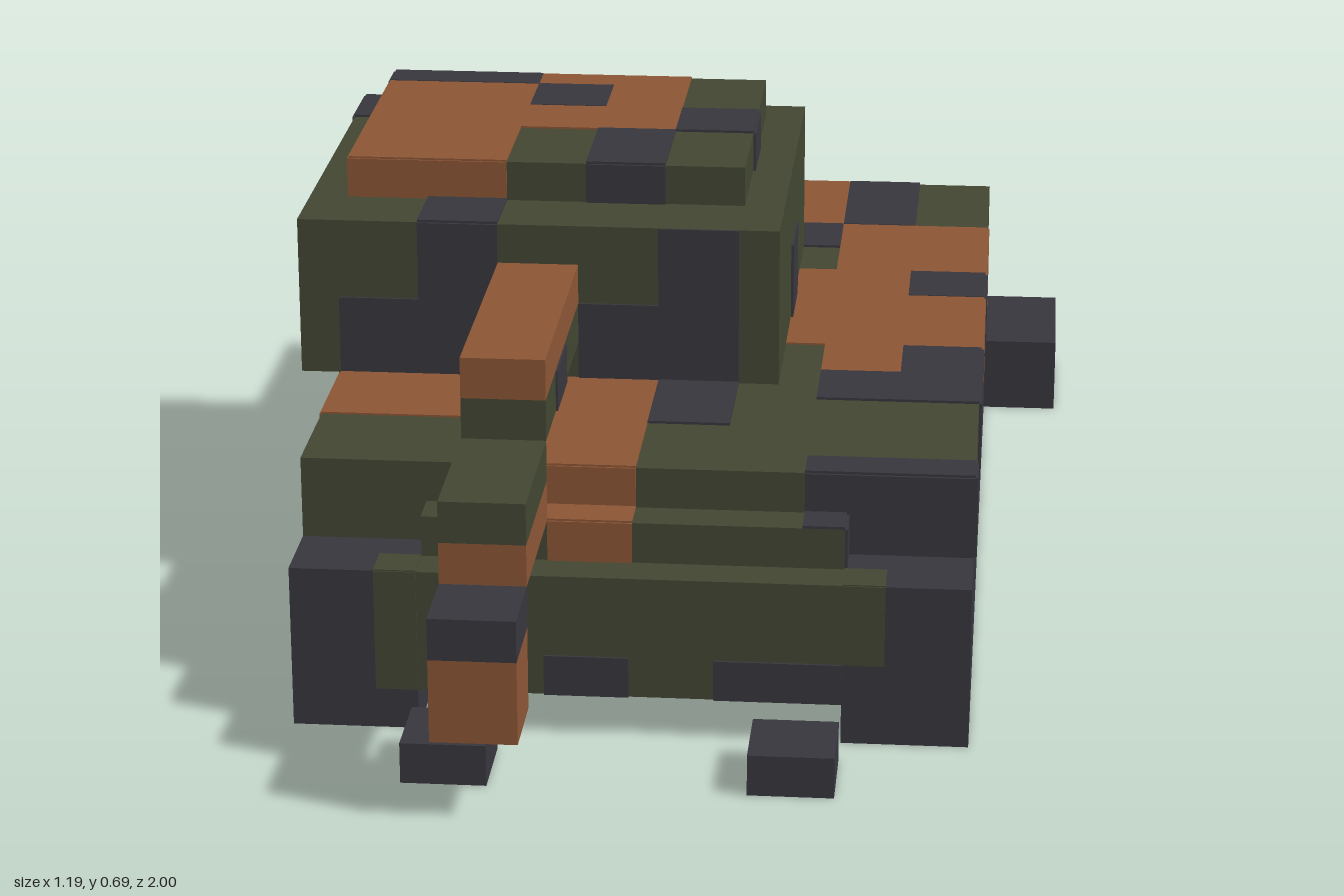
import * as THREE from 'three';

const U = 0.0625; // one block
const mat = (name, color) => { const m = new THREE.MeshStandardMaterial({ color }); m.name = name; return m; };

export function createModel() {
  const green = mat('olive green', 0x414632);
  const rust = mat('rust brown', 0x8b5535);
  const dark = mat('charcoal', 0x37363d);
  const lift = new Map([[green, 0.002], [rust, 0.003], [dark, 0.004]]);
  const root = new THREE.Group();
  root.name = 'tank';

  // box from block ranges along x, y and z
  function box(name, m, x0, x1, y0, y1, z0, z1, parent = root) {
    const mesh = new THREE.Mesh(new THREE.BoxGeometry((x1 - x0) * U, (y1 - y0) * U, (z1 - z0) * U), m);
    mesh.position.set(((x0 + x1) / 2 - 9.5) * U, (y0 + y1) / 2 * U, ((z0 + z1) / 2 - 16) * U);
    mesh.name = name;
    parent.add(mesh);
    return mesh;
  }

  // thin camouflage plates on one face; a and b are the face's two block ranges
  // (x,z on top and bottom; x,y on front and back; z,y on the sides)
  function camo(name, face, level, m, rects) {
    const g = new THREE.Group();
    g.name = name;
    const t = lift.get(m) / U * (face[0] === '-' ? -1 : 1);
    const [lo, hi] = [Math.min(level, level + t), Math.max(level, level + t)];
    for (const [a0, a1, b0, b1] of rects) {
      if (face[1] === 'y') box('camoPatch', m, a0, a1, lo, hi, b0, b1, g);
      if (face[1] === 'z') box('camoPatch', m, a0, a1, b0, b1, lo, hi, g);
      if (face[1] === 'x') box('camoPatch', m, lo, hi, b0, b1, a0, a1, g);
    }
    root.add(g);
  }

  // tracks and hull
  box('rightTrack', dark, 1, 4, 0, 4, 2, 27);
  box('leftTrack', dark, 14, 17, 0, 4, 2, 27);
  box('lowerHull', green, 4, 14, 1, 4, 2, 27);
  box('upperHull', green, 1, 17, 4, 6, 2, 25);
  box('frontBar', green, 4, 14, 4, 5, 25, 26);
  box('rearBlock', dark, 17, 19, 0, 2, 0, 4);
  for (const x of [4, 12]) box('frontFoot', dark, x, x + 2, 0, 1, 28, 30);

  // turret and hatch
  box('turret', green, 0, 12, 6, 10, 8, 19);
  box('hatch', green, 1, 11, 10, 11, 9, 17);

  // drooping barrel in three steps
  box('barrelBaseTop', rust, 5, 7, 8, 9, 19, 26);
  box('barrelBaseBottom', green, 5, 7, 7, 8, 19, 26);
  box('barrelBaseSpot', dark, 4.95, 7.05, 7, 8, 22, 24);
  box('barrelMiddleTop', green, 5, 7, 6, 7, 26, 30);
  box('barrelMiddleBottom', rust, 5, 7, 5, 6, 26, 30);
  box('barrelTipTop', dark, 5, 7, 4, 5, 30, 32);
  box('barrelTipBottom', rust, 5, 7, 2, 4, 30, 32);

  // hull deck
  camo('deckRust', '+y', 6, rust, [[1, 5, 2, 6], [9, 13, 2, 6], [5, 9, 6, 8], [13, 17, 6, 16],
    [12, 13, 10, 16], [13, 15, 16, 18], [1, 5, 19, 22], [5, 9, 19, 25]]);
  camo('deckDark', '+y', 6, dark, [[5, 7, 4, 6], [9, 11, 4, 6], [13, 15, 2, 6], [1, 3, 6, 8], [11, 13, 6, 8],
    [15, 17, 10, 12], [15, 17, 16, 18], [13, 17, 18, 20], [9, 11, 19, 22], [13, 17, 24, 25]]);
  camo('noseDeckGreen', '+y', 4, green, [[3, 4, 26, 27], [14, 15, 26, 27]]);
  camo('barTopRust', '+y', 5, rust, [[5, 9, 25, 26]]);
  camo('barTopDark', '+y', 5, dark, [[13, 14, 25, 26]]);

  // hull front
  camo('noseRust', '+z', 25, rust, [[5, 9, 4, 6]]);
  camo('noseDark', '+z', 25, dark, [[13, 17, 4, 6]]);
  camo('barFrontRust', '+z', 26, rust, [[7, 9, 4, 5]]);
  camo('barEndDark', '+x', 14, dark, [[25, 26, 4, 5]]);
  camo('lowerNoseGreen', '+z', 27, green, [[3, 4, 1, 4], [14, 15, 2, 4]]);
  camo('lowerNoseDark', '+z', 27, dark, [[7, 9, 1, 2], [11, 14, 1, 2]]);

  // hull sides
  camo('leftSideRust', '+x', 17, rust, [[6, 10, 4, 6], [12, 16, 4, 6]]);
  camo('leftSideDark', '+x', 17, dark, [[10, 12, 4, 6], [16, 20, 4, 6], [24, 25, 4, 6]]);
  camo('rightSideRust', '-x', 1, rust, [[2, 6, 4, 6], [14, 16, 4, 6], [19, 22, 4, 6]]);
  camo('rightSideDark', '-x', 1, dark, [[6, 8, 4, 6], [11, 14, 4, 6], [16, 19, 4, 6]]);

  // hull back
  camo('backRust', '-z', 2, rust, [[1, 5, 4, 6], [4, 5, 1, 4], [9, 13, 1, 6], [5, 9, 1, 2]]);
  camo('backDark', '-z', 2, dark, [[13, 15, 4, 6], [13, 14, 1, 4], [5, 7, 2, 4]]);

  // belly
  camo('bellyRust', '-y', 1, rust, [[9, 13, 2, 6], [5, 9, 6, 8], [7, 11, 10, 14], [5, 9, 19, 26]]);
  camo('bellyDark', '-y', 1, dark, [[5, 7, 4, 6], [9, 11, 4, 6], [11, 13, 6, 8], [9, 11, 19, 22]]);

  // turret faces
  camo('turretFrontDark', '+z', 19, dark, [[1, 3, 6, 8], [3, 5, 6, 10], [7, 9, 6, 8], [9, 11, 6, 10]]);
  camo('turretTopDark', '+y', 10, dark, [[0, 1, 8, 10], [3, 5, 17, 19]]);
  camo('turretLeftDark', '+x', 12, dark, [[12, 14, 6, 8]]);
  camo('turretRightDark', '-x', 0, dark, [[8, 10, 6, 10], [14, 16, 6, 8]]);
  camo('turretBackDark', '-z', 8, dark, [[0, 1, 6, 10], [5, 7, 6, 8]]);

  // hatch faces
  camo('hatchTopRust', '+y', 11, rust, [[1, 5, 10, 17], [5, 9, 9, 14]]);
  camo('hatchTopDark', '+y', 11, dark, [[1, 5, 9, 10], [5, 7, 10, 12], [9, 11, 12, 14], [7, 9, 14, 17]]);
  camo('hatchFrontRust', '+z', 17, rust, [[1, 5, 10, 11]]);
  camo('hatchFrontDark', '+z', 17, dark, [[7, 9, 10, 11]]);
  camo('hatchLeftDark', '+x', 11, dark, [[12, 14, 10, 11]]);
  camo('hatchRightRust', '-x', 1, rust, [[10, 17, 10, 11]]);
  camo('hatchRightDark', '-x', 1, dark, [[9, 10, 10, 11]]);
  camo('hatchBackRust', '-z', 9, rust, [[5, 9, 10, 11]]);
  camo('hatchBackDark', '-z', 9, dark, [[1, 5, 10, 11]]);

  return root;
}
